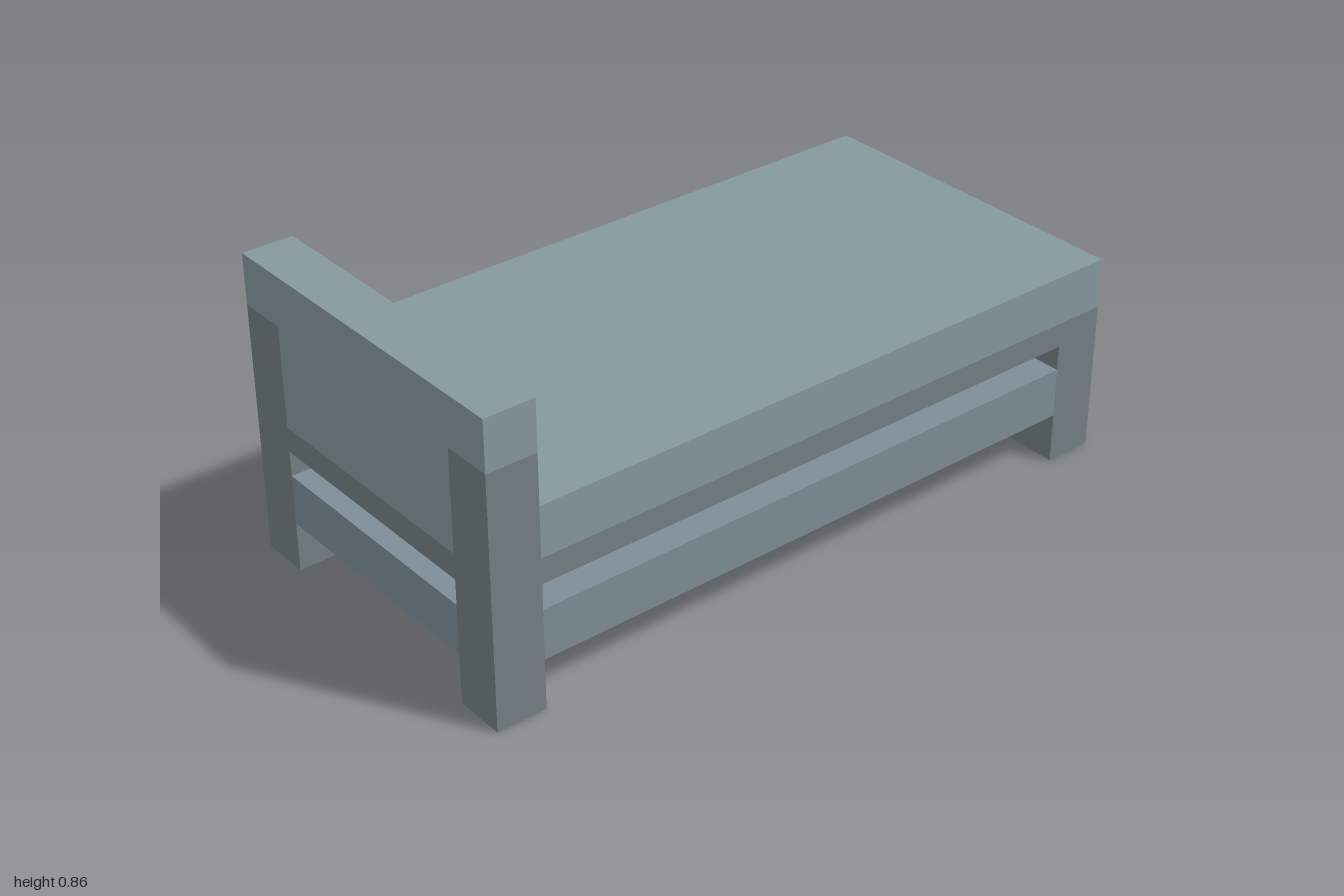
import * as THREE from 'three';

export function createModel() {
  const bed = new THREE.Group();
  bed.name = 'bed';
  const paint = (color) => new THREE.MeshStandardMaterial({ color });
  const light = paint(0x84989d); // mattress and headboard
  const dark = paint(0x727f85); // posts, legs and upper frame
  const middle = paint(0x7d8d97); // lower rails
  const U = 1 / 14; // plank module: every part is a whole number of modules

  // Box between two corners, given in modules
  function block(name, material, [x0, y0, z0], [x1, y1, z1]) {
    const geometry = new THREE.BoxGeometry((x1 - x0) * U, (y1 - y0) * U, (z1 - z0) * U);
    const mesh = new THREE.Mesh(geometry, material);
    mesh.position.set((x0 + x1) * U / 2, (y0 + y1) * U / 2, (z0 + z1) * U / 2);
    mesh.name = name;
    bed.add(mesh);
  }

  // Legs: tall headboard posts at the front, short legs at the back
  for (const [side, x] of [['right', -7], ['left', 5]]) {
    block(side + 'HeadboardPost', dark, [x, 0, 12], [x + 2, 10, 14]);
    block(side + 'FootLeg', dark, [x, 0, -14], [x + 2, 5, -12]);
  }

  // Headboard: panel between the posts with a batten let into its inner face, cap board above
  block('headboardPanel', light, [-5, 6, 13], [5, 10, 14]);
  block('headboardPanelRight', light, [-5, 6, 12], [-1, 10, 13]);
  block('headboardPanelLeft', light, [1, 6, 12], [5, 10, 13]);
  block('headboardBatten', dark, [-1, 6, 12], [1, 10, 13]);
  block('headboardCap', light, [-7, 10, 12], [7, 12, 14]);

  // Mattress slab
  block('mattress', light, [-7, 6, -14], [7, 8, 12]);

  // Thin upper frame carrying the mattress
  block('upperHeadRail', dark, [-5, 5, 13], [5, 6, 14]);
  block('upperFootRail', light, [-6, 5, -14], [6, 6, -13]);
  block('upperLeftRail', dark, [6, 5, -14], [7, 6, 12]);
  block('upperRightRail', dark, [-7, 5, -14], [-6, 6, 12]);

  // Lower stretchers: head and left ones flush, foot and right ones set in
  block('lowerHeadRail', middle, [-5, 2, 12], [5, 4, 14]);
  block('lowerFootRail', middle, [-5, 2, -13], [5, 4, -11]);
  block('lowerLeftRail', middle, [5, 2, -12], [7, 4, 12]);
  block('lowerRightRail', middle, [-6, 2, -12], [-4, 4, 12]);

  return bed;
}
